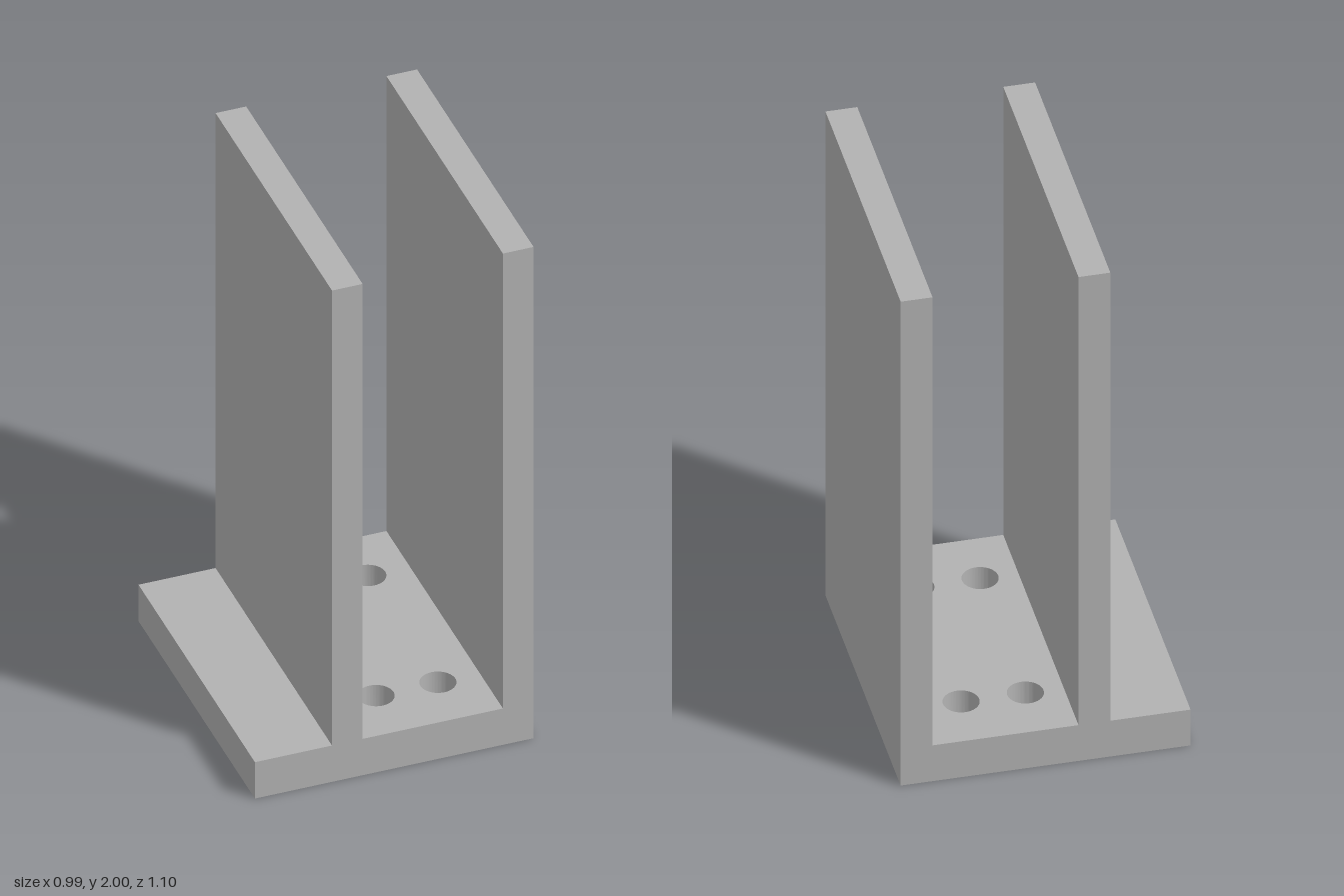
import * as THREE from 'three';
import { toCreasedNormals } from 'three/addons/utils/BufferGeometryUtils.js';

const HALF_W = 0.496, HALF_D = 0.55, BASE_H = 0.148, HEIGHT = 2, WALL_T = 0.109;

export function createModel() {
  const model = new THREE.Group();
  model.name = 'twinWallBracket';

  const grey = new THREE.MeshStandardMaterial({ color: 0xb2b2b2 });
  grey.name = 'plain grey';

  // Base plate with four round through holes
  const plate = new THREE.Shape([
    new THREE.Vector2(-HALF_W, -HALF_D),
    new THREE.Vector2(HALF_W, -HALF_D),
    new THREE.Vector2(HALF_W, HALF_D),
    new THREE.Vector2(-HALF_W, HALF_D),
  ]);
  for (const x of [0.018, 0.238]) {
    for (const z of [-0.331, 0.331]) {
      plate.holes.push(new THREE.Path().absarc(x, z, 0.062, 0, Math.PI * 2, true));
    }
  }
  const plateGeometry = new THREE.ExtrudeGeometry(plate, {
    depth: BASE_H, bevelEnabled: false, curveSegments: 40,
  });
  plateGeometry.rotateX(-Math.PI / 2);
  const base = new THREE.Mesh(toCreasedNormals(plateGeometry, Math.PI / 6), grey);
  base.name = 'basePlate';
  model.add(base);

  // Two upright walls standing on the plate
  const wallH = HEIGHT - BASE_H;
  const wallGeometry = new THREE.BoxGeometry(WALL_T, wallH, HALF_D * 2);
  for (const [name, x] of [['innerWall', -0.167], ['edgeWall', HALF_W - WALL_T / 2]]) {
    const wall = new THREE.Mesh(wallGeometry, grey);
    wall.name = name;
    wall.position.set(x, BASE_H + wallH / 2, 0);
    model.add(wall);
  }

  return model;
}
